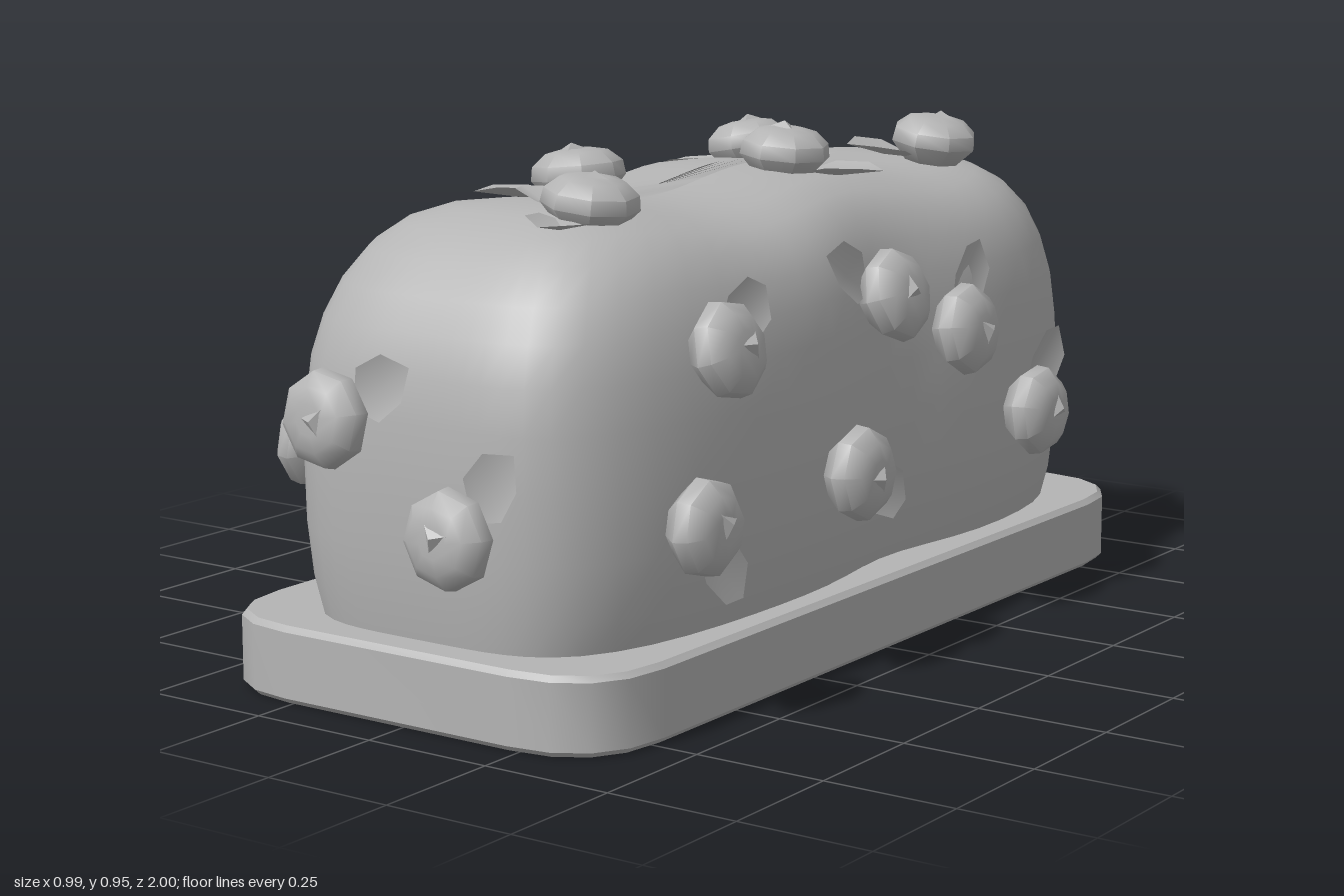
import * as THREE from 'three';
import { toCreasedNormals } from 'three/addons/utils/BufferGeometryUtils.js';

const grey = new THREE.MeshStandardMaterial({ color: 0xb4b4b4 });
grey.name = 'plain grey';
const leafGrey = new THREE.MeshStandardMaterial({ color: 0xb4b4b4, side: THREE.DoubleSide });
leafGrey.name = 'leaf grey';

// Plinth: chamfered, rounded slab with a slight dip in its right edge
function makePlinth() {
  const x0 = -0.44, x1 = 0.41, z0 = -0.94, z1 = 0.91, r = 0.18;
  const s = new THREE.Shape();
  s.moveTo(x0 + r, z0);
  s.lineTo(x1 - r, z0);
  s.quadraticCurveTo(x1, z0, x1, z0 + r);
  s.lineTo(x1, z1 - r);
  s.quadraticCurveTo(x1, z1, x1 - r, z1);
  s.lineTo(x0 + r, z1);
  s.quadraticCurveTo(x0, z1, x0, z1 - r);
  s.lineTo(x0, 0.3);
  s.quadraticCurveTo(x0 + 0.05, 0.1, x0, -0.1);
  s.lineTo(x0, z0 + r);
  s.quadraticCurveTo(x0, z0, x0 + r, z0);
  const g = new THREE.ExtrudeGeometry(s, {
    depth: 0.12, bevelThickness: 0.01, bevelSize: 0.01, bevelSegments: 1, curveSegments: 4,
  });
  g.rotateX(Math.PI / 2);
  g.translate(0, 0.13, 0);
  const mesh = new THREE.Mesh(toCreasedNormals(g, 0.6), grey);
  mesh.name = 'plinth';
  return mesh;
}

// Hedge: rounded-rectangle rings stacked in height, pinched near the middle
function makeHedge() {
  // height, half width, half length
  const rings = [
    [0.12, 0.372, 0.865], [0.2, 0.392, 0.878], [0.3, 0.402, 0.886], [0.42, 0.404, 0.888],
    [0.52, 0.398, 0.884], [0.6, 0.39, 0.874], [0.67, 0.375, 0.85], [0.73, 0.352, 0.815],
    [0.78, 0.318, 0.765], [0.815, 0.27, 0.71], [0.838, 0.205, 0.64], [0.85, 0.12, 0.55],
    [0.855, 0.03, 0.44],
  ];
  const n = 72, p = 4.2, pos = [], idx = [];
  rings.forEach(([y, w, l]) => {
    for (let i = 0; i < n; i++) {
      const a = (i / n) * Math.PI * 2, c = Math.cos(a), s = Math.sin(a);
      const k = (Math.abs(c) ** p + Math.abs(s) ** p) ** (-1 / p);
      const z = l * k * s - 0.015;
      const waist = c > 0 ? -0.12 : 0.06;
      const x = w * k * c * (1 - 0.1 * Math.exp(-(((z - waist) / 0.2) ** 2)));
      const lift = 0.015 * Math.sin(z * 9 + 2.6) * THREE.MathUtils.smoothstep(y, 0.6, 0.85);
      pos.push(x - 0.007, y + lift, z);
    }
  });
  for (let j = 0; j < rings.length - 1; j++) {
    for (let i = 0; i < n; i++) {
      const a = j * n + i, b = j * n + ((i + 1) % n);
      idx.push(a, a + n, b, b, a + n, b + n);
    }
  }
  // close the narrow top seam across its width
  const t = (rings.length - 1) * n;
  for (let i = 0; i < n / 2; i++) {
    const a = t + i, b = t + i + 1, c = t + ((n - i) % n), d = t + n - i - 1;
    if (i > 0) idx.push(a, c, b);
    if (i < n / 2 - 1) idx.push(b, c, d);
  }
  const g = new THREE.BufferGeometry();
  g.setAttribute('position', new THREE.Float32BufferAttribute(pos, 3));
  g.setIndex(idx);
  g.computeVertexNormals();
  const mesh = new THREE.Mesh(g, grey);
  mesh.name = 'hedge';
  return mesh;
}

// Rose head facing +z: rounded bloom with a folded bud on top
const bloomProfile = [[0, -0.05], [0.055, -0.045], [0.088, -0.008], [0.084, 0.018], [0.058, 0.04], [0.028, 0.046], [0, 0.044]];
const bloomGeometry = toCreasedNormals(
  new THREE.LatheGeometry(bloomProfile.map(([x, y]) => new THREE.Vector2(x, y)), 8).rotateX(Math.PI / 2), 0.85);
const budGeometry = toCreasedNormals(
  new THREE.ConeGeometry(0.04, 0.018, 3).rotateX(Math.PI / 2).translate(0.008, -0.004, 0.048), 0.2);

// Leaf along +x, folded on its midrib and lifted at the tip
const leafGeometry = new THREE.BufferGeometry();
leafGeometry.setAttribute('position', new THREE.Float32BufferAttribute([
  0.03, 0, -0.02, 0.09, -0.052, 0.004, 0.155, -0.046, 0.01, 0.195, 0, 0.004,
  0.155, 0.046, 0.01, 0.09, 0.052, 0.004, 0.11, 0, -0.014], 3));
leafGeometry.setIndex([0, 1, 6, 1, 2, 6, 2, 3, 6, 3, 4, 6, 4, 5, 6, 5, 0, 6]);
leafGeometry.computeVertexNormals();

function makeRose(position, normal, up, spin, leaves) {
  const rose = new THREE.Group();
  rose.name = 'rose';
  const zAxis = normal.clone().normalize();
  const xAxis = new THREE.Vector3().crossVectors(up, zAxis).normalize();
  const yAxis = new THREE.Vector3().crossVectors(zAxis, xAxis);
  rose.quaternion.setFromRotationMatrix(new THREE.Matrix4().makeBasis(xAxis, yAxis, zAxis));
  rose.position.copy(position);
  const bloom = new THREE.Mesh(bloomGeometry, grey);
  bloom.name = 'petals';
  bloom.rotation.z = spin;
  const bud = new THREE.Mesh(budGeometry, grey);
  bud.name = 'bud';
  bud.rotation.z = spin * 2;
  rose.add(bloom, bud);
  leaves.forEach((degrees) => {
    const leaf = new THREE.Mesh(leafGeometry, leafGrey);
    leaf.name = 'leaf';
    leaf.rotation.z = THREE.MathUtils.degToRad(degrees);
    leaf.position.z = -0.02;
    rose.add(leaf);
  });
  return rose;
}

// One side of the hedge: roses as [x, y, z, leaf angles seen face on]
function makeRoses(name, normal, roses) {
  const group = new THREE.Group();
  group.name = name;
  const onTop = normal.y > 0.5;
  const up = onTop ? new THREE.Vector3(0, 0, -1) : new THREE.Vector3(0, 1, 0);
  roses.forEach(([x, y, z, leaves], i) => {
    const facing = normal.clone();
    // roses near the shoulders lean with the curve of the hedge
    if (onTop) facing.x += x;
    else facing.y += 0.05 + Math.max(0, y - 0.5) * 1.5;
    group.add(makeRose(new THREE.Vector3(x, y, z), facing, up, i * 0.7 + 0.2, leaves));
  });
  return group;
}

export function createModel() {
  const model = new THREE.Group();
  model.name = 'roseHedge';
  model.add(makePlinth(), makeHedge());
  model.add(makeRoses('topRoses', new THREE.Vector3(0, 1, 0), [
    [-0.19, 0.865, -0.42, [100, 195]], [0.15, 0.88, -0.58, [240]], [0.09, 0.895, -0.13, [20]],
    [-0.1, 0.88, 0.27, [222]], [0.13, 0.875, 0.54, [165, 280]]]));
  model.add(makeRoses('frontRoses', new THREE.Vector3(0, 0, 1), [
    [-0.16, 0.52, 0.91, [32]], [0.135, 0.355, 0.945, [52]]]));
  model.add(makeRoses('backRoses', new THREE.Vector3(0, 0, -1), [
    [0.13, 0.6, -0.915, [20]], [-0.14, 0.42, -0.945, [150]]]));
  model.add(makeRoses('leftRoses', new THREE.Vector3(1, 0, 0), [
    [0.405, 0.64, 0.52, [28]], [0.435, 0.355, 0.63, [-50]], [0.4, 0.66, -0.03, [150]],
    [0.435, 0.36, 0.14, [-25]], [0.4, 0.56, -0.29, [55]], [0.435, 0.37, -0.51, [50]]]));
  model.add(makeRoses('rightRoses', new THREE.Vector3(-1, 0, 0), [
    [-0.42, 0.6, -0.57, [-95]], [-0.43, 0.36, -0.29, [-130]], [-0.41, 0.67, -0.06, [100, -100]],
    [-0.44, 0.34, 0.19, [-110]], [-0.42, 0.65, 0.46, [-100]], [-0.445, 0.4, 0.62, [-105]]]));
  return model;
}
